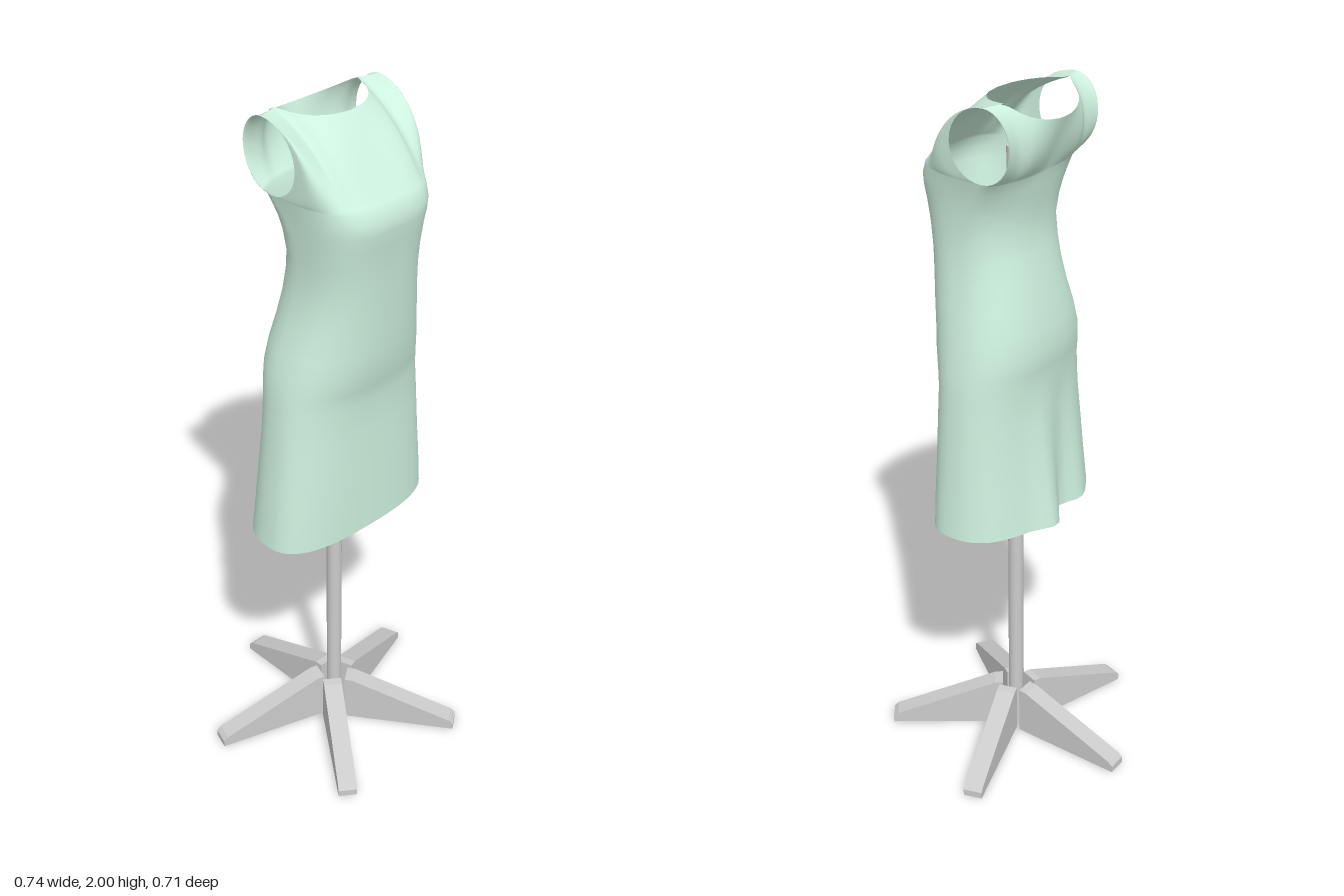
import * as THREE from 'three';
import { mergeGeometries, mergeVertices } from 'three/addons/utils/BufferGeometryUtils.js';

const { lerp } = THREE.MathUtils;
const CX = -0.005, CZ = 0.022; // stand axis

// Dress sections: y, right x, left x, widest z, front z, back z, front squareness
const SECTIONS = [
  [0.80, -0.285, 0.268, 0.045, 0.172, -0.125, 2.7],
  [0.90, -0.275, 0.260, 0.045, 0.172, -0.115, 2.7],
  [1.00, -0.265, 0.252, 0.045, 0.172, -0.107, 2.6],
  [1.12, -0.252, 0.244, 0.045, 0.172, -0.098, 2.5],
  [1.22, -0.243, 0.236, 0.045, 0.174, -0.098, 2.4],
  [1.27, -0.237, 0.231, 0.045, 0.186, -0.106, 2.3],
  [1.32, -0.228, 0.222, 0.045, 0.198, -0.110, 2.3],
  [1.38, -0.212, 0.211, 0.048, 0.205, -0.104, 2.3],
  [1.45, -0.190, 0.196, 0.055, 0.211, -0.090, 2.4],
  [1.52, -0.176, 0.181, 0.062, 0.217, -0.075, 2.5],
  [1.58, -0.171, 0.171, 0.066, 0.223, -0.063, 2.6],
  [1.64, -0.172, 0.166, 0.066, 0.229, -0.053, 2.8],
  [1.70, -0.177, 0.167, 0.055, 0.238, -0.060, 3.0],
  [1.74, -0.181, 0.171, 0.035, 0.245, -0.068, 3.2],
  [1.77, -0.185, 0.176, 0.012, 0.246, -0.074, 3.3],
  [1.80, -0.190, 0.182, -0.010, 0.235, -0.080, 3.3],
];
const TOP = SECTIONS[SECTIONS.length - 1];

// Point on a section at angle phi (0 = front centre, PI/2 = left side)
function sectionPoint([y, xr, xl, zc, zf, zb, sq], phi) {
  const s = Math.sin(phi), c = Math.cos(phi);
  const e = 2 / (c >= 0 ? sq : 2.3);
  const x = (xl + xr) / 2 + Math.sign(s) * (xl - xr) / 2 * Math.abs(s) ** e;
  let z = zc + (c >= 0 ? zf - zc : zb - zc) * Math.abs(c) ** e;
  // Loose folds in the back of the skirt
  if (c < 0 && y < 1.2) {
    const bump = (at, w) => Math.exp(-(((x - at) / w) ** 2));
    z += (1.2 - y) / 0.4 * (0.025 * bump(-0.045, 0.04) - 0.033 * bump(0.045, 0.05) - 0.012 * bump(-0.13, 0.05));
  }
  return [x, y, z];
}

// Neckline followed by the shoulder seam; f runs from centre to armhole
function neckPoint(f, side, front) {
  const k = 0.68;
  if (f > k) {
    const t = (f - k) / (1 - k);
    return [side * lerp(0.135, 0.2, t), 2, lerp(-0.05, -0.03, t)];
  }
  const t = f / k, r = Math.sqrt(1 - t * t);
  return [side * 0.135 * t, 2 - (front ? 0.012 : 0.05) * r, -0.05 + (front ? 0.12 : -0.085) * r];
}

// Bodice panel between bust line and neckline, bowed at its edges to leave round armholes
function panelPoint(u, v, front) {
  const phi = u * Math.PI / 2 + (front ? 0 : Math.PI);
  const a = sectionPoint(TOP, phi);
  const s = Math.min(1, Math.abs(u));
  const f = Math.min(1, Math.sin(s * Math.PI / 2) ** (2 / (front ? TOP[6] : 2.3)));
  const b = neckPoint(f, (front ? 1 : -1) * Math.sign(u), front);
  const bow = s * Math.sin(Math.PI * v) * (front ? 0.1 : -0.083);
  const lift = s * (0.1 - 0.1 * Math.cos(Math.PI * v) - 0.2 * v);
  return [lerp(a[0], b[0], v), lerp(a[1], b[1], v) + lift, lerp(a[2], b[2], v) + bow];
}

// Grid surface from a point rule
function grid(nu, nv, point) {
  const pos = [], idx = [];
  for (let j = 0; j <= nv; j++) for (let i = 0; i <= nu; i++) pos.push(...point(i, j));
  for (let j = 0; j < nv; j++) {
    for (let i = 0; i < nu; i++) {
      const a = j * (nu + 1) + i, d = a + nu + 1;
      idx.push(a, a + 1, d + 1, a, d + 1, d);
    }
  }
  const g = new THREE.BufferGeometry();
  g.setAttribute('position', new THREE.Float32BufferAttribute(pos, 3));
  g.setIndex(idx);
  return g;
}

function makeDress() {
  const N = 32, V = 16;
  const body = grid(2 * N, SECTIONS.length - 1, (i, j) => sectionPoint(SECTIONS[j], (i / N - 0.5) * Math.PI));
  const panels = [true, false].map(front => grid(N, V, (i, j) => panelPoint(2 * i / N - 1, j / V, front)));
  const g = mergeVertices(mergeGeometries([body, ...panels]), 1e-4);
  g.computeVertexNormals();
  const mesh = new THREE.Mesh(g, new THREE.MeshStandardMaterial({ color: 0xcdf0de, side: THREE.DoubleSide }));
  mesh.name = 'dress';
  return mesh;
}

function makeStand() {
  const stand = new THREE.Group();
  stand.name = 'stand';
  stand.position.set(CX, 0, CZ);
  const grey = new THREE.MeshStandardMaterial({ color: 0xcccccc });

  const pole = new THREE.Mesh(new THREE.CylinderGeometry(0.022, 0.022, 1.845, 32), grey);
  pole.name = 'pole';
  pole.position.y = 0.9225;
  stand.add(pole);

  // Tapered foot, drawn in side profile and extruded to its width
  const profile = new THREE.Shape([
    [0.04, 0], [0.378, 0], [0.378, 0.02], [0.365, 0.032], [0.065, 0.148], [0.04, 0.15],
  ].map(p => new THREE.Vector2(...p)));
  const footGeo = new THREE.ExtrudeGeometry(profile, { depth: 0.055, bevelEnabled: false });
  footGeo.translate(0, 0, -0.0155);
  for (let i = 0; i < 5; i++) {
    const foot = new THREE.Mesh(footGeo, grey);
    foot.name = 'foot' + (i + 1);
    foot.rotation.y = Math.PI / 2 + i * Math.PI * 2 / 5;
    stand.add(foot);
  }
  return stand;
}

export function createModel() {
  const model = new THREE.Group();
  model.name = 'dressOnStand';
  model.add(makeDress(), makeStand());
  return model;
}
